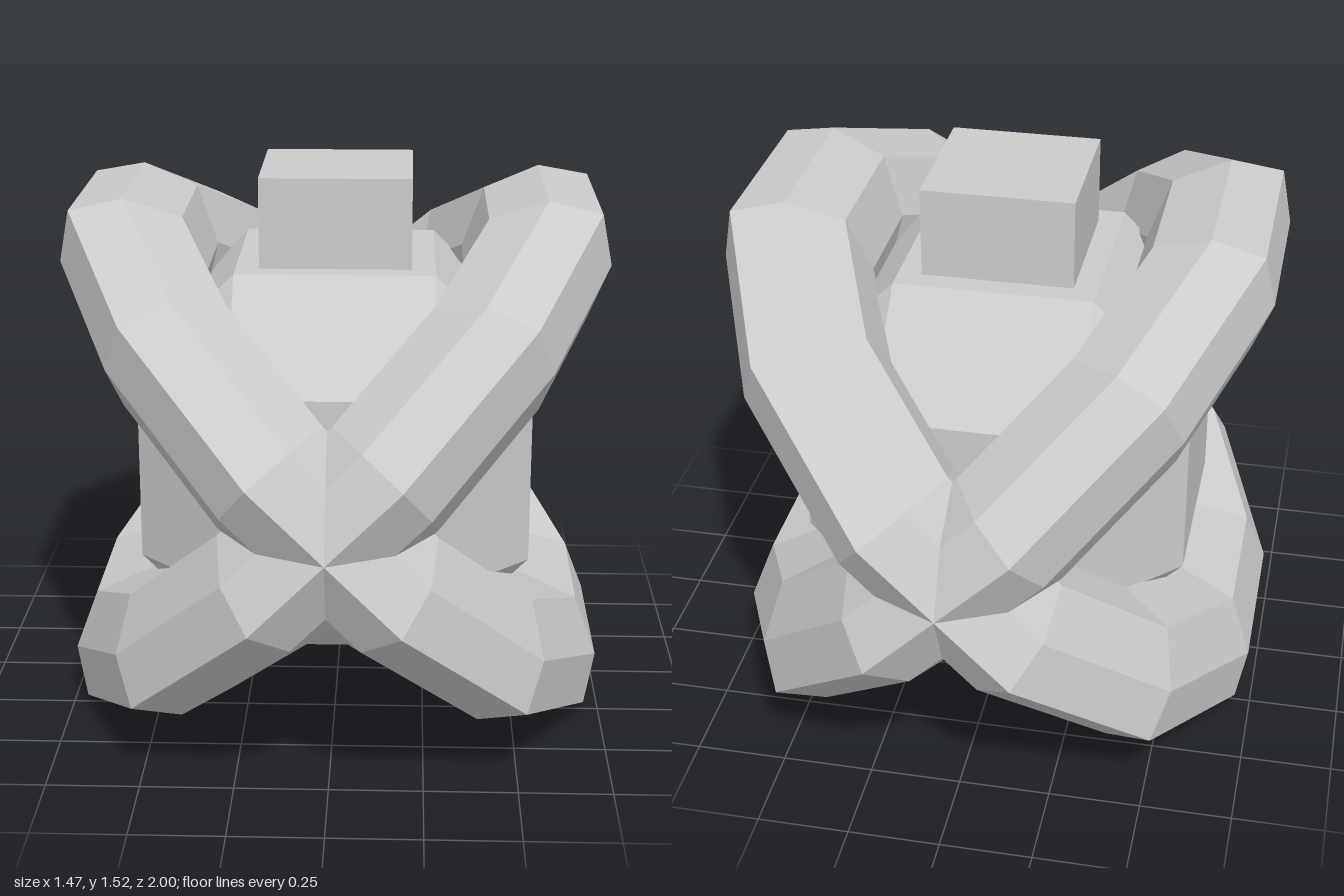
import * as THREE from 'three';
import { ConvexGeometry } from 'three/addons/geometries/ConvexGeometry.js';

const CENTER_Y = 0.74;

export function createModel() {
  const model = new THREE.Group();
  const material = new THREE.MeshStandardMaterial({ color: 0xcccccc, flatShading: true });

  const add = (name, geometry, y) => {
    const mesh = new THREE.Mesh(geometry, material);
    mesh.name = name;
    mesh.position.y = y;
    model.add(mesh);
    return mesh;
  };

  // Faceted core: a cube with chamfered edges and corners
  const a = 0.27, b = 0.538;
  const corners = [];
  for (const x of [-1, 1]) for (const y of [-1, 1]) for (const z of [-1, 1]) {
    corners.push(
      new THREE.Vector3(x * b, y * a, z * a),
      new THREE.Vector3(x * a, y * b, z * a),
      new THREE.Vector3(x * a, y * a, z * b)
    );
  }
  add('core', new ConvexGeometry(corners), CENTER_Y);

  // Block on top, sunk a little into the core
  add('topBlock', new THREE.BoxGeometry(0.412, 0.285, 0.412), 1.3825);

  // Two crossed twelve-sided rings with an eight-sided section.
  // Section is given at the middle of a facet: [distance from axis, offset along axis]
  const section = [
    [0.54, 0], [0.615, -0.121], [0.77, -0.19], [0.92, -0.121],
    [1, 0], [0.92, 0.121], [0.77, 0.19], [0.615, 0.121], [0.54, 0]
  ].map(([r, h]) => new THREE.Vector2(r / Math.cos(Math.PI / 12), h));
  const ringGeometry = new THREE.LatheGeometry(section, 12, Math.PI / 12, Math.PI * 2);
  for (const side of [-1, 1]) {
    const ring = add(side < 0 ? 'ringLeanRight' : 'ringLeanLeft', ringGeometry, CENTER_Y);
    ring.rotation.z = side * Math.PI / 4;
  }

  return model;
}
